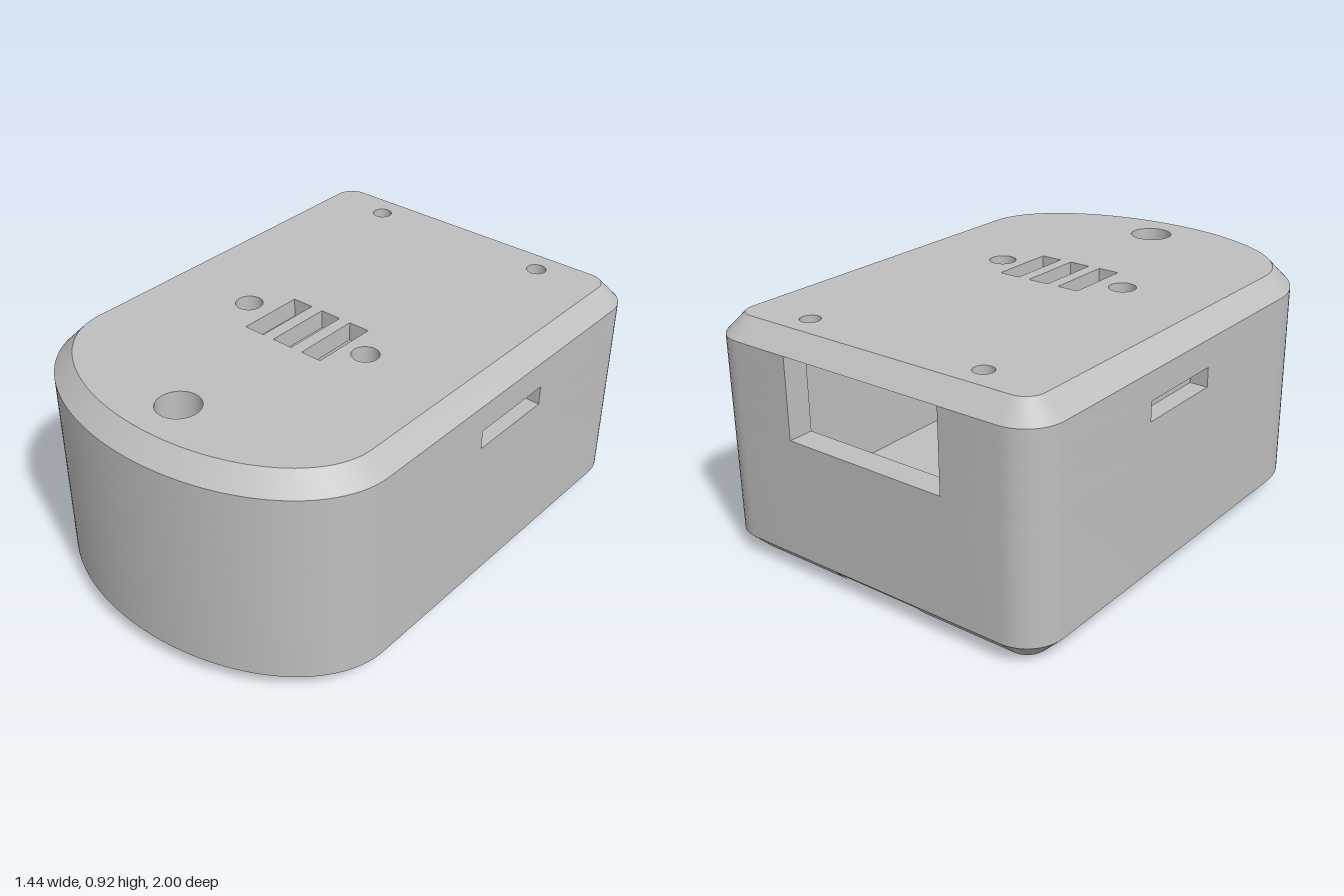
import * as THREE from 'three';
import { toCreasedNormals } from 'three/addons/utils/BufferGeometryUtils.js';

const W = 0.72, CH = 0.073, WALL = 0.1, TOP = 0.915, SHOULDER = TOP - CH;
const KEY = { x: 0, z: 0.75, r: 0.082 };

// Plan outline [x, z], inset by i: rounded back corners and an elliptical front.
// It starts and ends on the back edge at x = +half and x = -half.
function ring(i, half = 0.34, pocket = 0) {
  const side = [[half, -1 + i]];
  const r = Math.max(0.145 - i, 0.01);
  for (let k = 0; k <= 10; k++) {
    const a = (k / 10 - 1) * Math.PI / 2;
    side.push([W - i - r + r * Math.cos(a), -1 + i + r + r * Math.sin(a)]);
  }
  if (pocket) side.push([W, -0.367], [W - pocket, -0.367], [W - pocket, 0], [W, 0]);
  for (let k = 0; k < 28; k++) {
    const a = (k / 28) * Math.PI / 2;
    side.push([(W - i) * Math.cos(a), 0.53 + (0.47 - i) * Math.sin(a)]);
  }
  const mirrored = side.map(([x, z]) => [-x, z]).reverse();
  return [...side, [0, 1 - i], ...mirrored];
}

const vecs = (pts) => pts.map(([x, z]) => new THREE.Vector2(x, -z));
const shapeOf = (pts, holes = []) => {
  const s = new THREE.Shape(vecs(pts));
  s.holes = holes.map((h) => new THREE.Path(vecs(h)));
  return s;
};
const circle = (x, z, r, n = 32) => Array.from({ length: n }, (_, k) => {
  const a = (k / n) * Math.PI * 2;
  return [x + r * Math.cos(a), z + r * Math.sin(a)];
});
const rect = (x0, x1, z0, z1) => [[x0, z0], [x1, z0], [x1, z1], [x0, z1]];

// Upright slab between two heights
function slab(shape, y0, y1) {
  const g = new THREE.ExtrudeGeometry(shape, { depth: y1 - y0, bevelEnabled: false });
  g.rotateX(-Math.PI / 2).translate(0, y0, 0);
  return toCreasedNormals(g, 0.5);
}

// Flat face at height y, facing up or down
function face(shape, y, up) {
  const g = new THREE.ShapeGeometry(shape);
  g.rotateX(-Math.PI / 2);
  if (!up) {
    const ix = g.index;
    for (let k = 0; k < ix.count; k += 3) {
      const a = ix.getX(k);
      ix.setX(k, ix.getX(k + 1));
      ix.setX(k + 1, a);
    }
    g.computeVertexNormals();
  }
  return g.translate(0, y, 0);
}

// Sloping band between two outlines with the same number of points
function band(low, y0, high, y1) {
  const pos = [];
  low.forEach(([x, z], k) => {
    const n = (k + 1) % low.length;
    const a = [x, y0, z], b = [low[n][0], y0, low[n][1]];
    const c = [high[n][0], y1, high[n][1]], d = [high[k][0], y1, high[k][1]];
    pos.push(...a, ...d, ...c, ...a, ...c, ...b);
  });
  const g = new THREE.BufferGeometry();
  g.setAttribute('position', new THREE.Float32BufferAttribute(pos, 3));
  return toCreasedNormals(g, 0.5);
}

export function createModel() {
  const model = new THREE.Group();
  model.name = 'enclosure';
  const grey = new THREE.MeshStandardMaterial({ color: 0xbfbfbf, side: THREE.DoubleSide });
  grey.name = 'grey plastic';
  const add = (name, geometry) => {
    const m = new THREE.Mesh(geometry, grey);
    m.name = name;
    model.add(m);
    return m;
  };

  const keyHole = circle(KEY.x, KEY.z, KEY.r, 40);
  const inner = ring(WALL);

  // Underside with a shallow channel that runs out through the back chamfer
  const D = 0.045, HALF = 0.185, FRONT = 0.4;
  const notched = (i) => [...ring(i, HALF), [-HALF, FRONT], [HALF, FRONT]];
  add('bottomFace', face(shapeOf(notched(CH), [keyHole]), 0, false));
  add('bottomChamferLower', band(notched(CH), 0, notched(CH - D), D));
  add('bottomChamferUpper', band(ring(CH - D, HALF), D, ring(0, HALF), CH));
  add('channelCeiling', face(shapeOf(rect(-HALF, HALF, -1 + CH - D, FRONT)), D, false));

  // Walls: closed below, open at the back above the sill, with side pockets
  const SILL = 0.53, P0 = 0.66, P1 = 0.735;
  const openWall = (pocket) => shapeOf([...ring(0, 0.34, pocket), ...[...inner].reverse()]);
  add('lowerWall', slab(shapeOf(ring(0), [inner]), CH, SILL));
  add('wallBelowPockets', slab(openWall(0), SILL, P0));
  add('wallWithPockets', slab(openWall(0.07), P0, P1));
  add('wallAbovePockets', slab(openWall(0), P1, SHOULDER));
  add('insideFloor', face(shapeOf(inner, [keyHole]), 0.14, true));

  // Lid with screw holes, round holes, three slots and the key hole
  const holes = [keyHole, circle(-0.288, 0.1, 0.052), circle(0.273, 0.1, 0.052)];
  for (const s of [-1, 1]) holes.push(circle(s * 0.385, -0.825, 0.038, 24));
  for (const x of [-0.135, 0, 0.135]) holes.push(rect(x - 0.043, x + 0.043, -0.032, 0.235));
  add('lid', slab(shapeOf(ring(CH), holes), SHOULDER, TOP));
  add('lidChamfer', band(ring(0), SHOULDER, ring(CH), TOP));
  add('lidRimUnderside', face(shapeOf(ring(0), [ring(CH)]), SHOULDER, false));

  // Tube through the whole case
  const tube = add('keyTube', new THREE.CylinderGeometry(KEY.r, KEY.r, TOP, 40, 1, true));
  tube.position.set(KEY.x, TOP / 2, KEY.z);

  return model;
}
